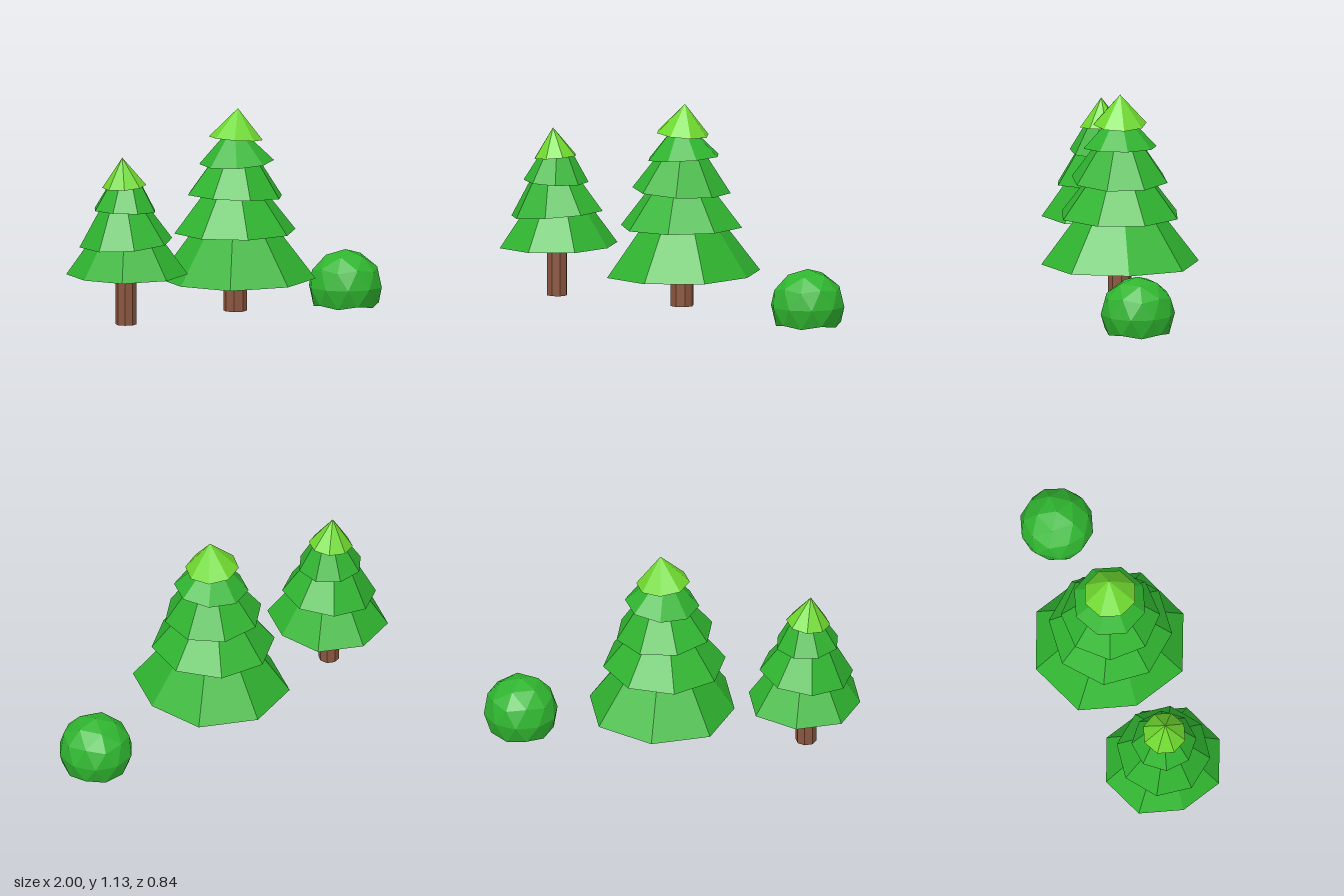
import * as THREE from 'three';

const flat = (name, color) => {
  const m = new THREE.MeshStandardMaterial({ color, flatShading: true, side: THREE.DoubleSide });
  m.name = name;
  return m;
};

export function createModel() {
  const leaf = flat('leafGreen', 0x30b530);
  const tip = flat('tipGreen', 0x6fd92f);
  const bark = flat('barkBrown', 0x8b563f);
  const model = new THREE.Group();
  model.name = 'treesAndBush';

  // Hollow eight-sided skirt of needles, tilted about its base centre.
  function tier(name, material, { x, y, r, rTop, h, spin, tilt, pinch = 1 }) {
    const geo = new THREE.CylinderGeometry(rTop, r, h, 8, 1, true);
    geo.translate(0, h / 2, 0);
    const p = geo.attributes.position;
    // Pull in the two side corners where the skirt is pinched
    for (let i = 0; i < p.count; i++) {
      if (Math.abs(p.getZ(i)) < 0.001) p.setX(i, p.getX(i) * pinch);
    }
    geo.rotateY(THREE.MathUtils.degToRad(spin));
    geo.computeVertexNormals();
    const mesh = new THREE.Mesh(geo, material);
    mesh.name = name;
    mesh.position.set(x, y, 0);
    mesh.rotation.z = THREE.MathUtils.degToRad(tilt);
    return mesh;
  }

  function tree(name, x, trunkRadius, trunkTop, tiers) {
    const group = new THREE.Group();
    group.name = name;
    const h = trunkTop - 0.05;
    const trunk = new THREE.Mesh(new THREE.CylinderGeometry(trunkRadius, trunkRadius, h, 8), bark);
    trunk.name = 'trunk';
    trunk.position.set(x, 0.05 + h / 2, 0);
    group.add(trunk);
    tiers.forEach((t, i) => {
      const last = i === tiers.length - 1;
      group.add(tier(last ? 'treeTip' : `needleTier${i + 1}`, last ? tip : leaf, t));
    });
    model.add(group);
  }

  tree('tallTree', 0.045, 0.063, 0.55, [
    { x: 0.055, y: 0.22, r: 0.42, rTop: 0.21, h: 0.28, spin: 0, tilt: 1, pinch: 0.92 },
    { x: 0.043, y: 0.474, r: 0.328, rTop: 0.165, h: 0.21, spin: 17, tilt: 0.5 },
    { x: 0.043, y: 0.667, r: 0.262, rTop: 0.12, h: 0.2, spin: 23, tilt: -2.8 },
    { x: 0.055, y: 0.843, r: 0.198, rTop: 0.07, h: 0.135, spin: 5, tilt: 4 },
    { x: 0.05, y: 0.97, r: 0.143, rTop: 0, h: 0.16, spin: 2, tilt: -5 },
  ]);

  tree('smallTree', -0.713, 0.055, 0.6, [
    { x: -0.705, y: 0.317, r: 0.323, rTop: 0.19, h: 0.185, spin: 0, tilt: 1, pinch: 0.92 },
    { x: -0.714, y: 0.487, r: 0.25, rTop: 0.115, h: 0.21, spin: 15, tilt: 5 },
    { x: -0.72, y: 0.66, r: 0.172, rTop: 0.09, h: 0.14, spin: 28, tilt: -2 },
    { x: -0.725, y: 0.789, r: 0.117, rTop: 0, h: 0.155, spin: 5, tilt: 5 },
  ]);

  // Bush: a faceted ball standing on a vertex axis, with its lower cap left open
  const radius = 0.198;
  const ball = new THREE.IcosahedronGeometry(radius, 1);
  ball.rotateX(-Math.atan((1 + Math.sqrt(5)) / 2));
  ball.rotateY(Math.PI / 2);
  const p = ball.attributes.position;
  const kept = [];
  for (let i = 0; i < p.count; i += 3) {
    const midY = (p.getY(i) + p.getY(i + 1) + p.getY(i + 2)) / 3;
    if (midY < -0.5 * radius) continue;
    for (let k = i; k < i + 3; k++) kept.push(p.getX(k), p.getY(k), p.getZ(k));
  }
  const bushGeo = new THREE.BufferGeometry();
  bushGeo.setAttribute('position', new THREE.Float32BufferAttribute(kept, 3));
  bushGeo.computeVertexNormals();
  const bush = new THREE.Mesh(bushGeo, leaf);
  bush.name = 'bush';
  bush.position.set(0.81, 0.105, 0);
  model.add(bush);

  return model;
}
